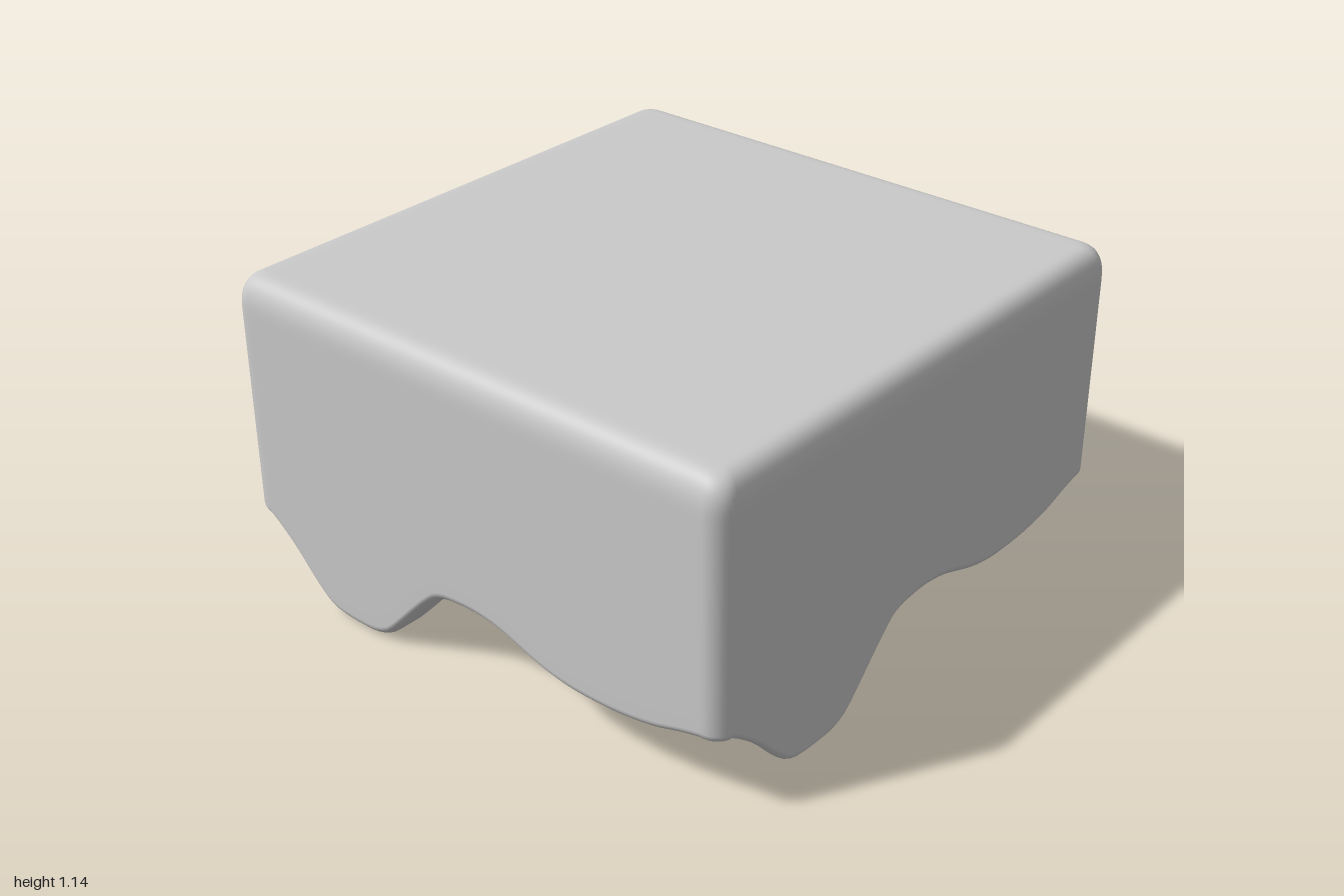
import * as THREE from 'three';

const TOP = 1.14, CEIL = 0.35, DOME = 0.15, WALL = 0.175, R = 0.07;
const STEPS = 72, ARC = 8;

// Wavy lower hem of one side, left to right
const hemCurve = new THREE.SplineCurve([
  [-1, 0.285], [-0.93, 0.26], [-0.82, 0.175], [-0.71, 0.062], [-0.65, 0.017], [-0.59, 0.003], [-0.52, 0],
  [-0.45, 0.003], [-0.395, 0.022], [-0.35, 0.06], [-0.2, 0.22], [-0.13, 0.273], [-0.04, 0.288], [0.05, 0.288],
  [0.15, 0.27], [0.3, 0.22], [0.4, 0.2], [0.5, 0.195], [0.62, 0.2], [0.75, 0.22], [0.87, 0.255], [1, 0.285],
].map(([x, y]) => new THREE.Vector2(x, y))).getPoints(400);

function hem(x) {
  const i = Math.max(1, hemCurve.findIndex((p) => p.x >= x));
  const a = hemCurve[i - 1], b = hemCurve[i];
  return Math.max(0, THREE.MathUtils.lerp(a.y, b.y, (x - a.x) / (b.x - a.x)));
}

// One turn round the rounded square, inset by d; height depends on the hem or the position
function ring(d, height, hems) {
  const half = 1 - d, r = Math.min(half * 0.5, Math.max(R - d * 0.5, 0.012)), L = half - r, M = 1 - R;
  const side = [];
  for (let i = 0; i <= STEPS; i++) {
    const t = M * (2 * i / STEPS - 1), a = Math.abs(t);
    // keep the waves in line through the wall, squeezing only near the corners
    const x = L < 0.6 ? a * L / M : a < 0.5 ? a : 0.5 + (a - 0.5) * (L - 0.5) / (M - 0.5);
    side.push([Math.sign(t) * x, half]);
  }
  for (let k = 1; k < ARC; k++) {
    const a = k / ARC * Math.PI / 2;
    side.push([L + r * Math.sin(a), L + r * Math.cos(a)]);
  }
  const out = [];
  for (let s = 0; s < 4; s++) {
    side.forEach(([x, z], i) => {
      for (let k = 0; k < s; k++) [x, z] = [z, -x];
      out.push(x, height(hems[i], x, z), z);
    });
  }
  return out;
}

function shellGeometry() {
  const hems = [];
  for (let i = 0; i <= STEPS; i++) hems.push(hem((1 - R) * (2 * i / STEPS - 1)));
  const first = hems[0], last = hems[STEPS];
  for (let k = 1; k < ARC; k++) hems.push(THREE.MathUtils.lerp(last, first, k / ARC));

  const rings = [];
  const add = (d, height) => rings.push(ring(d, height, hems));
  // flat top
  for (const d of [0.9999, 0.5, 0.15, 0.1]) add(d, () => TOP);
  // tightly rounded upper edge
  for (let k = 0; k <= 12; k++) {
    const a = k / 12 * Math.PI / 2;
    const s = Math.sin(a) ** 0.75, c = k < 12 ? Math.cos(a) ** 0.75 : 0;
    add(0.085 * (1 - s), () => TOP - 0.125 * (1 - c));
  }
  // outer wall
  for (const f of [0.1, 0.5, 0.9]) add(0, (e) => THREE.MathUtils.lerp(TOP - 0.125, e + 0.045, f));
  // rounded hem: outer quarter, then inner quarter
  for (let k = 0; k <= 7; k++) {
    const a = k / 7 * Math.PI / 2;
    add(0.05 * (1 - Math.cos(a)), (e) => e + 0.04 * (1 - Math.sin(a)));
  }
  for (let k = 0; k <= 7; k++) {
    const a = k / 7 * Math.PI / 2;
    add(WALL - 0.05 + 0.05 * Math.sin(a), (e) => e + 0.04 * (1 - Math.cos(a)));
  }
  // inner wall
  for (const f of [0.5, 0.85]) add(WALL, (e) => THREE.MathUtils.lerp(e + 0.04, CEIL, f));
  // smoothly domed ceiling with a softened edge
  const span = 1 - WALL;
  const dome = (e, x, z) => CEIL + DOME * (1 - (x / span) ** 2) * (1 - (z / span) ** 2);
  add(WALL + 0.012, dome);
  for (let d = 0.22; d < 0.99; d += 0.06) add(d, dome);
  add(0.9999, dome);

  const n = rings[0].length / 3, index = [];
  for (let i = 0; i < rings.length - 1; i++) {
    for (let j = 0; j < n; j++) {
      const a = i * n + j, b = i * n + (j + 1) % n, c = a + n, d = b + n;
      index.push(a, c, d, a, d, b);
    }
  }
  const g = new THREE.BufferGeometry();
  g.setAttribute('position', new THREE.Float32BufferAttribute(rings.flat(), 3));
  g.setIndex(index);
  g.computeVertexNormals();
  return g;
}

export function createModel() {
  const group = new THREE.Group();
  group.name = 'wavyBlock';
  const grey = new THREE.MeshStandardMaterial({ color: 0xcacaca });
  grey.name = 'grey';
  const shell = new THREE.Mesh(shellGeometry(), grey);
  shell.name = 'blockWithWavyHem';
  group.add(shell);
  return group;
}
